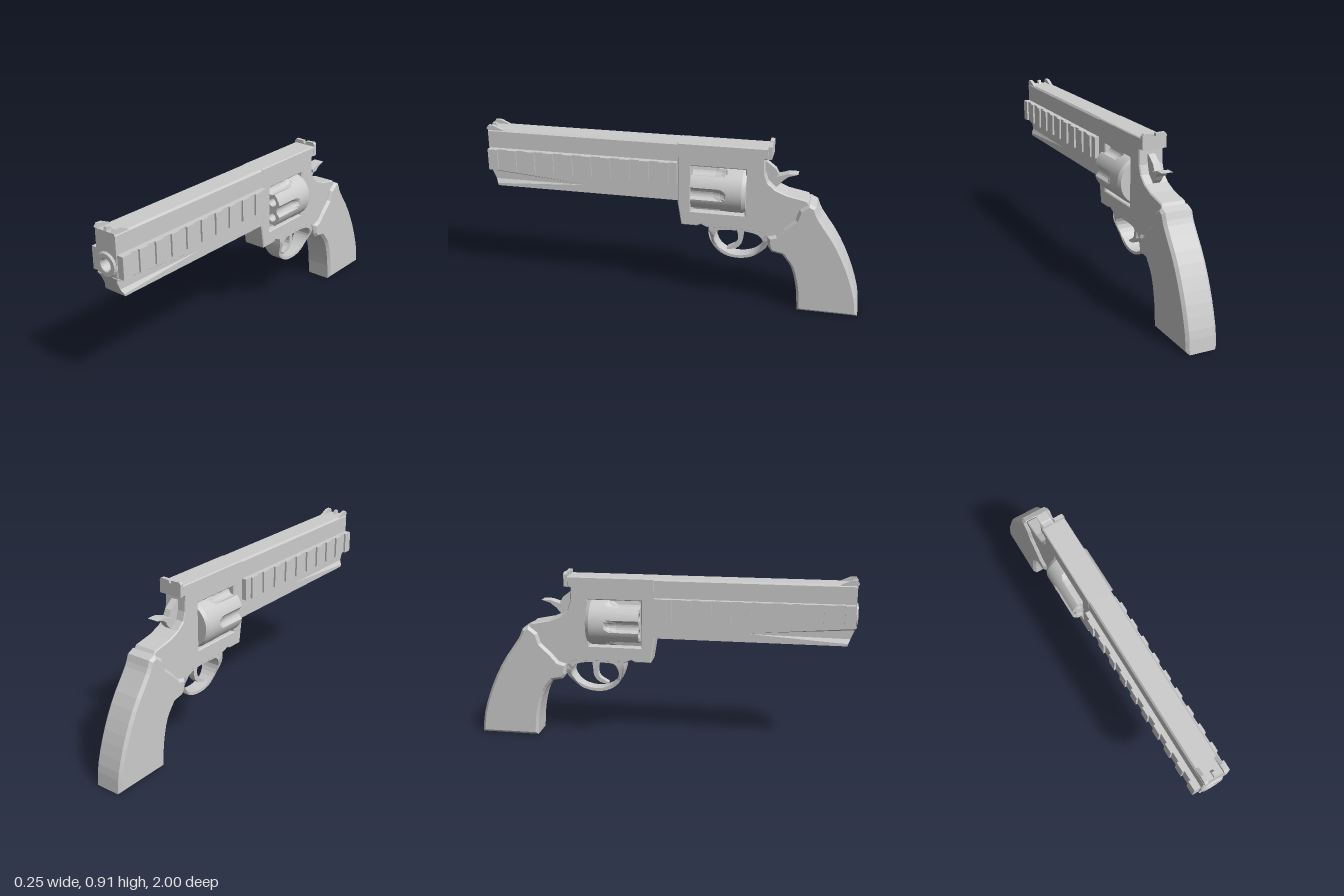
import * as THREE from 'three';

const mat = new THREE.MeshStandardMaterial({ color: 0xcccccc, flatShading: true, side: THREE.DoubleSide });
const V = (p) => new THREE.Vector2(p[0], p[1]);

function add(parent, name, geo) {
  const m = new THREE.Mesh(geo, mat);
  m.name = name;
  parent.add(m);
  return m;
}

// Side profile of [z, y] points, extruded across x and centred on x = 0
function slab(pts, half, bevel = 0, holes = []) {
  const shape = new THREE.Shape(pts.map(V));
  holes.forEach((h) => shape.holes.push(new THREE.Path(h.map(V))));
  const g = new THREE.ExtrudeGeometry(shape, {
    depth: 2 * (half - bevel), bevelEnabled: bevel > 0, bevelSize: bevel,
    bevelThickness: bevel, bevelOffset: -bevel, bevelSegments: 1,
  });
  return g.translate(0, 0, -(half - bevel)).rotateY(-Math.PI / 2);
}

// Front section of [x, y] points, extruded from z0 up to z1
function prism(pts, z0, z1, holes = []) {
  const shape = new THREE.Shape(pts.map(V));
  holes.forEach(([x, y, r]) => shape.holes.push(new THREE.Path().absarc(x, y, r, 0, Math.PI * 2, true)));
  return new THREE.ExtrudeGeometry(shape, { depth: z1 - z0, bevelEnabled: false, curveSegments: 10 }).translate(0, 0, z0);
}

// Skin over counter-clockwise sections of [x, y, z], ordered front to back
function loft(sections) {
  const n = sections[0].length, idx = [];
  for (let s = 0; s < sections.length - 1; s++) {
    for (let i = 0; i < n; i++) {
      const a = s * n + i, b = s * n + (i + 1) % n;
      idx.push(a, a + n, b, b, a + n, b + n);
    }
  }
  const last = (sections.length - 1) * n;
  THREE.ShapeUtils.triangulateShape(sections[0].map(V), []).forEach(([a, b, c]) => idx.push(a, b, c));
  THREE.ShapeUtils.triangulateShape(sections.at(-1).map(V), []).forEach(([a, b, c]) => idx.push(last + c, last + b, last + a));
  const g = new THREE.BufferGeometry();
  g.setAttribute('position', new THREE.Float32BufferAttribute(sections.flat(2), 3));
  g.setIndex(idx);
  g.computeVertexNormals();
  return g;
}

const mirrorX = (half) => [...half, ...half.slice().reverse().map(([x, ...r]) => [-x, ...r])];
const curve = (pts, n, closed = false) =>
  new THREE.CatmullRomCurve3(pts.map(([a, b]) => new THREE.Vector3(a, b, 0)), closed, 'centripetal')
    .getPoints(n).slice(0, closed ? -1 : undefined).map((p) => [p.x, p.y]);

function buildBarrel() {
  const g = new THREE.Group();
  g.name = 'barrel';
  const W = 0.063, axis = 0.723;
  add(g, 'barrelBody', prism(mirrorX([[W, 0.665], [W, 0.875], [0.055, 0.885]]), -0.04, 0.99, [[0, axis, 0.03]]));

  // Muzzle crown
  const ring = [[0.03, 0], [0.063, 0], [0.063, 0.022], [0.056, 0.03], [0.034, 0.03], [0.03, 0.026], [0.03, 0]];
  add(g, 'muzzleCrown', new THREE.LatheGeometry(ring.map(V), 24).rotateX(Math.PI / 2).translate(0, axis, 0.97));

  // Underlug: slanted nose and side scallops that fade out towards the back
  const lug = (z, inset, ys, slope) => mirrorX([
    [W, 0.57], [W, ys[0]], [W - inset, ys[1]], [W - inset, ys[2]], [W, ys[3]], [W, 0.67],
  ]).map(([x, y]) => [x, y, z - slope * (0.67 - y)]);
  const flat = [0.612, 0.614, 0.616, 0.618];
  add(g, 'underlug', loft([
    lug(0.995, 0.014, [0.582, 0.605, 0.652, 0.662], 0.42),
    lug(0.46, 0, flat, 0),
    lug(-0.04, 0, flat, 0),
  ]));

  // Slotted side rails
  for (const s of [-1, 1]) {
    const rail = new THREE.Group();
    rail.name = s > 0 ? 'leftRail' : 'rightRail';
    g.add(rail);
    const base = new THREE.BoxGeometry(0.028, 0.114, 1.02).translate(s * 0.074, 0.728, 0.475);
    add(rail, 'railBase', base);
    for (let i = 0; i < 10; i++) {
      add(rail, 'railTooth', new THREE.BoxGeometry(0.014, 0.114, 0.052).translate(s * 0.091, 0.728, 0.959 - i * 0.103));
    }
  }

  // Front sight: two ramped ears around a small post
  for (const s of [-1, 1]) {
    const ear = slab([[0.9, 0.88], [0.99, 0.88], [0.998, 0.89], [0.985, 0.907], [0.955, 0.905]], 0.009);
    add(g, 'frontSightEar', ear.translate(s * 0.052, 0, 0));
  }
  add(g, 'frontSightPost', slab([[0.95, 0.88], [0.99, 0.88], [0.985, 0.904], [0.965, 0.904]], 0.008));
  return g;
}

function buildCylinder() {
  const g = new THREE.Group();
  g.name = 'cylinder';
  const N = 72, CY = 0.638, R = 0.125;
  // Outline with six round flutes of radius f, starting at the sides
  const outline = (f, r = R) => Array.from({ length: N }, (_, i) => {
    const a = (i / N) * Math.PI * 2, step = Math.PI / 3;
    const off = a - Math.round(a / step) * step, d = 0.135;
    const disc = f * f - (d * Math.sin(off)) ** 2;
    const rr = disc > 0 ? Math.min(r, d * Math.cos(off) - Math.sqrt(disc)) : r;
    return [Math.cos(a) * rr, CY + Math.sin(a) * rr];
  });
  const chambers = Array.from({ length: 6 }, (_, i) => {
    const a = Math.PI / 6 + (i * Math.PI) / 3;
    return [Math.cos(a) * 0.086, CY + Math.sin(a) * 0.086, 0.023];
  });
  add(g, 'flutedFront', prism(outline(0.034), -0.23, -0.112, chambers));
  const at = (z, f, r) => outline(f, r).map(([x, y]) => [x, y, z]);
  add(g, 'cylinderRear', loft([
    at(-0.23, 0.034), at(-0.265, 0.028), at(-0.285, 0.02), at(-0.295, 0.01), at(-0.375, 0), at(-0.394, 0, 0.115),
  ]));
  return g;
}

function buildGuard() {
  const outer = curve([[-0.2, 0.44], [-0.206, 0.37], [-0.235, 0.305], [-0.29, 0.267], [-0.36, 0.257],
    [-0.43, 0.272], [-0.48, 0.308], [-0.51, 0.345], [-0.53, 0.44]], 28);
  const inner = curve([[-0.25, 0.417], [-0.228, 0.37], [-0.25, 0.317], [-0.3, 0.282], [-0.36, 0.272],
    [-0.43, 0.288], [-0.475, 0.325], [-0.49, 0.36], [-0.47, 0.405], [-0.4, 0.425], [-0.3, 0.425]], 30, true);
  const geo = slab(outer, 0.063, 0, [inner]);
  // The strap narrows towards its lowest point
  const p = geo.attributes.position;
  for (let i = 0; i < p.count; i++) {
    const t = THREE.MathUtils.clamp((p.getY(i) - 0.31) / 0.08, 0, 1);
    p.setX(i, p.getX(i) * THREE.MathUtils.lerp(0.58, 1, t));
  }
  geo.computeVertexNormals();
  return geo;
}

export function createModel() {
  const root = new THREE.Group();
  root.name = 'revolver';
  root.add(buildBarrel(), buildCylinder());

  // Frame with its cylinder window
  add(root, 'frame', slab([
    [-0.035, 0.885], [-0.5, 0.885], [-0.5, 0.83], [-0.48, 0.825], [-0.485, 0.75], [-0.5, 0.705], [-0.54, 0.67],
    [-0.6, 0.645], [-0.7, 0.625], [-0.73, 0.59], [-0.68, 0.48], [-0.57, 0.37], [-0.52, 0.38], [-0.49, 0.42],
    [-0.46, 0.43], [-0.19, 0.43], [-0.16, 0.444], [-0.14, 0.434], [-0.055, 0.434], [-0.035, 0.56],
  ], 0.064, 0.005, [[[-0.105, 0.515], [-0.105, 0.765], [-0.388, 0.765], [-0.388, 0.515]]]));

  // Rear sight plate with a centre notch
  add(root, 'rearSight', prism(mirrorX([
    [0.064, 0.83], [0.064, 0.895], [0.056, 0.906], [0.008, 0.904], [0.005, 0.89],
  ]), -0.516, -0.496));

  // Hammer: narrow body and wide thumb spur
  add(root, 'hammerBody', slab([
    [-0.47, 0.8], [-0.49, 0.8], [-0.535, 0.765], [-0.555, 0.725], [-0.58, 0.72], [-0.56, 0.69], [-0.53, 0.66], [-0.47, 0.68],
  ], 0.018));
  add(root, 'hammerSpur', slab([
    [-0.54, 0.73], [-0.57, 0.738], [-0.6, 0.748], [-0.648, 0.748], [-0.6, 0.733], [-0.575, 0.712], [-0.55, 0.71],
  ], 0.029));

  add(root, 'triggerGuard', buildGuard());
  const front = curve([[-0.335, 0.435], [-0.352, 0.38], [-0.345, 0.335], [-0.295, 0.302]], 8);
  const back = curve([[-0.295, 0.294], [-0.34, 0.302], [-0.372, 0.335], [-0.378, 0.38], [-0.385, 0.435]], 8);
  add(root, 'trigger', slab([...front, ...back], 0.018));

  // Grip with chamfered edges
  const backStrap = curve([[-0.75, 0.595], [-0.77, 0.546], [-0.865, 0.407], [-0.94, 0.252], [-0.988, 0.1], [-1, 0]], 14);
  const frontStrap = curve([[-0.683, 0], [-0.672, 0.13], [-0.64, 0.25], [-0.592, 0.316]], 9);
  add(root, 'grip', slab([
    [-0.715, 0.612], ...backStrap, ...frontStrap, [-0.535, 0.327], [-0.517, 0.353], [-0.511, 0.41],
    [-0.554, 0.423], [-0.592, 0.466], [-0.65, 0.52], [-0.667, 0.575],
  ], 0.08, 0.014));
  return root;
}
